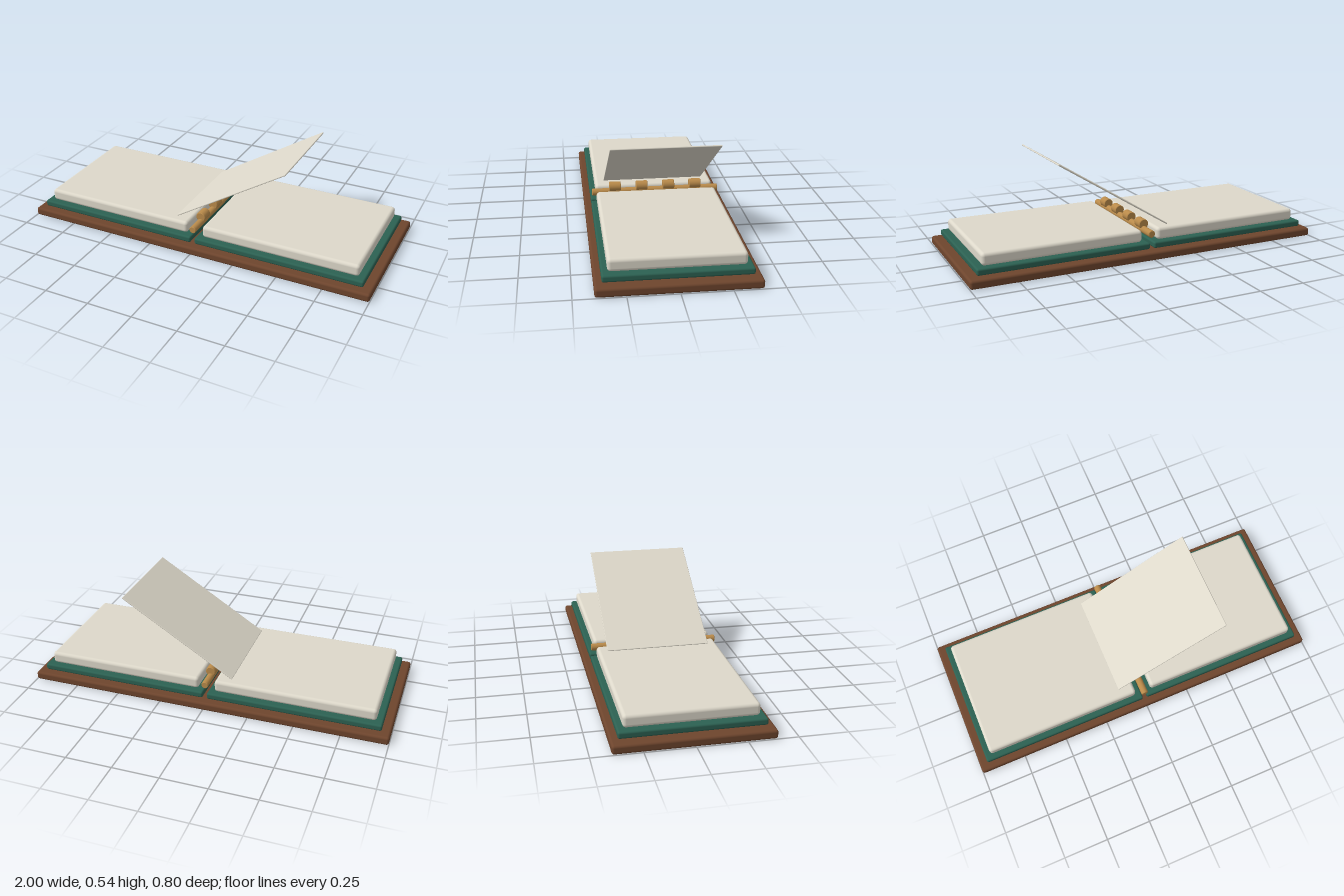
import * as THREE from 'three';
import { RoundedBoxGeometry } from 'three/addons/geometries/RoundedBoxGeometry.js';

const material = (color) => new THREE.MeshStandardMaterial({ color });

export function createModel() {
  const model = new THREE.Group();
  model.name = 'openBook';
  const wood = material(0x6e452d);
  const cloth = material(0x2c6152);
  const paper = material(0xddd8ca);
  const brass = material(0xb98a4a);

  const add = (name, geometry, mat, x, y, z = 0) => {
    const mesh = new THREE.Mesh(geometry, mat);
    mesh.name = name;
    mesh.position.set(x, y, z);
    model.add(mesh);
    return mesh;
  };
  const slab = (w, h, d, r) => new RoundedBoxGeometry(w, h, d, 4, r);

  // Rod along z with slightly eased end rims
  const rod = (radius, length, ease) => {
    const h = length / 2;
    const profile = [[0, -h], [radius - ease, -h], [radius, -h + ease], [radius, h - ease], [radius - ease, h], [0, h]];
    // doubled points keep the rims and caps crisp
    const points = profile.flatMap(([x, y], i) =>
      (i === 0 || i === 5 ? [1] : [1, 1]).map(() => new THREE.Vector2(x, y)));
    return new THREE.LatheGeometry(points, 32).rotateX(Math.PI / 2);
  };

  // Wooden tray under the book
  add('baseBoard', slab(2, 0.046, 0.796, 0.013), wood, 0, 0.023);

  // Cover and page block on each side of the spine
  for (const [side, s] of [['left', 1], ['right', -1]]) {
    add(side + 'Cover', slab(0.942, 0.035, 0.724, 0.01), cloth, s * 0.483, 0.0705);
    add(side + 'PageBlock', slab(0.875, 0.066, 0.666, 0.018), paper, s * 0.4825, 0.121);
  }

  // Spine rod and four binding knuckles
  add('spineRod', rod(0.0195, 0.71, 0.003), brass, 0, 0.1325);
  for (let i = 0; i < 4; i++) {
    add('bindingKnuckle' + (i + 1), rod(0.027, 0.065, 0.003), brass, 0, 0.162, -0.2265 + i * 0.151);
  }

  // Single leaf lifted over the spine
  const leaf = add('liftedPage', slab(0.731, 0.008, 0.565, 0.003), paper, 0.18, 0.348);
  leaf.rotation.z = THREE.MathUtils.degToRad(32);

  return model;
}
